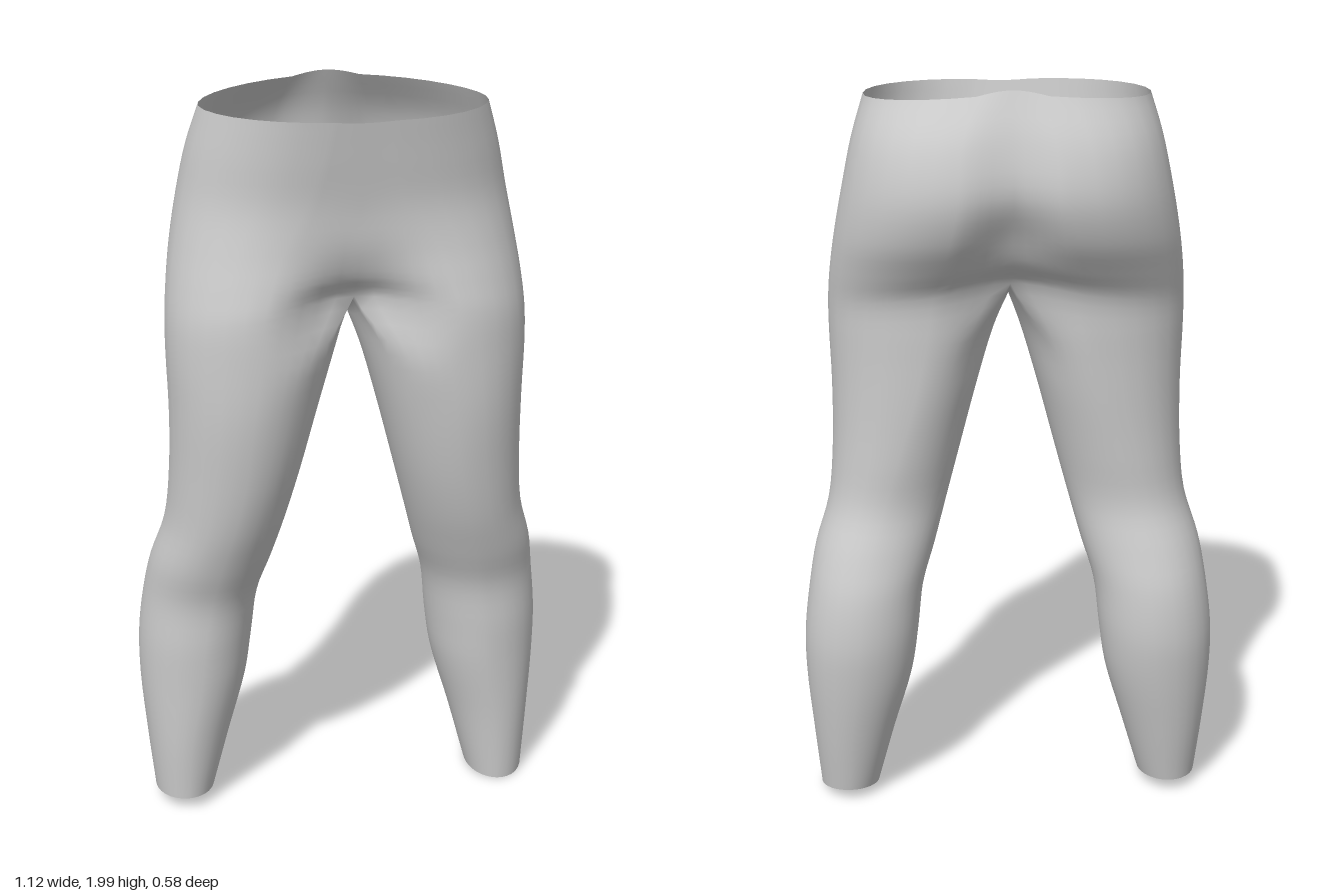
import * as THREE from 'three';
import { mergeVertices, mergeGeometries } from 'three/addons/utils/BufferGeometryUtils.js';

// Columns around one half: K centre-to-peak, Q peak-to-side, M across the crotch seam
const K = 5, Q = 7, M = 10, STEPS = 4;
const H = 2 * K + 2 * Q, N = H + M, I = K + M / 2;

// Hip half-rings: side y, side x, side z, front peak x/z, back peak x/z, front centre y/z, back centre y/z
const HIPS = [
  [1.955, 0.37, 0.035, 0.08, 0.29, 0.09, -0.2, 1.945, 0.29, 1.995, -0.2],
  [1.85, 0.402, 0.02, 0.1, 0.272, 0.13, -0.266, 1.85, 0.272, 1.87, -0.25],
  [1.73, 0.428, 0.01, 0.14, 0.252, 0.14, -0.292, 1.73, 0.25, 1.74, -0.265],
  [1.61, 0.451, 0.02, 0.2, 0.254, 0.16, -0.262, 1.62, 0.236, 1.63, -0.212],
  [1.51, 0.466, 0.04, 0.23, 0.268, 0.18, -0.203, 1.54, 0.207, 1.545, -0.165],
  [1.42, 0.474, 0.06, 0.25, 0.279, 0.2, -0.155, 1.48, 0.165, 1.485, -0.105],
];

// Leg rings: y, outer x, side z, front peak x/z, back peak x/z, inner x
const LEGS = [
  [1.33, 0.475, 0.07, 0.26, 0.281, 0.22, -0.142, 0.036],
  [1.18, 0.471, 0.07, 0.28, 0.274, 0.25, -0.133, 0.08],
  [1.0, 0.474, 0.06, 0.3, 0.248, 0.3, -0.121, 0.128],
  [0.86, 0.488, 0.04, 0.33, 0.217, 0.34, -0.116, 0.166],
  [0.74, 0.525, 0.01, 0.36, 0.178, 0.38, -0.15, 0.2],
  [0.63, 0.545, -0.02, 0.38, 0.14, 0.4, -0.18, 0.234],
  [0.5, 0.56, -0.035, 0.4, 0.131, 0.41, -0.19, 0.25],
  [0.38, 0.56, -0.035, 0.41, 0.122, 0.42, -0.178, 0.268],
  [0.2, 0.546, -0.025, 0.44, 0.107, 0.44, -0.145, 0.32],
  [0.02, 0.53, -0.01, 0.45, 0.092, 0.45, -0.11, 0.368],
];

const smooth = (t) => t * t * (3 - 2 * t);
const lerp = THREE.MathUtils.lerp;

// Point on an oval made of four quarter ellipses; u runs 0 front, 1 outer, 2 back, 3 inner
function oval(u, outer, zs, xf, zf, xb, zb, inner) {
  const s = Math.sin(u * Math.PI / 2), c = Math.cos(u * Math.PI / 2);
  const px = c > 0 ? xf : xb, pz = c > 0 ? zf : zb;
  return [px + ((s > 0 ? outer : inner) - px) * Math.abs(s), zs + (pz - zs) * Math.abs(c)];
}

function hipPoint(ring, col) {
  const [y, outer, zs, xf, zf, xb, zb, yf, cf, yb, cb] = ring;
  const front = col <= H / 2;
  const fromCentre = front ? col : H - col;
  const py = lerp(front ? yf : yb, y, smooth(fromCentre / (H / 2)));
  if (fromCentre < K) {
    const t = fromCentre / K;
    const z = front ? lerp(cf, zf, smooth(t)) : lerp(cb, zb, smooth(t));
    return new THREE.Vector3(t * (front ? xf : xb), py, z);
  }
  const [x, z] = oval((col - K) / Q, outer, zs, xf, zf, xb, zb, 0);
  return new THREE.Vector3(x, py, z);
}

// Crotch seam, running from back centre to front centre on x = 0
function seamPoint(col) {
  const [, , , , , , , yf, cf, yb, cb] = HIPS[HIPS.length - 1];
  const t = (col - H) / M;
  return new THREE.Vector3(0, lerp(yb, yf, t) - 0.05 * Math.sin(Math.PI * t), lerp(cb, cf, t));
}

function legPoint(ring, col, side) {
  const [y, ...shape] = ring;
  const u = col >= K && col <= K + 2 * Q ? (col - K) / Q : 2 + ((col - K - 2 * Q + N) % N) / I;
  const [x, z] = oval(u, ...shape);
  // The two hems are cut slightly differently
  const hem = ring === LEGS[LEGS.length - 1];
  const py = hem ? (side > 0 ? 0.016 - 0.16 * z : 0.037) : y;
  return new THREE.Vector3(x, py, z);
}

// One half of the garment: open hip shell above, closed leg tube below
function halfGeometry(side) {
  const joint = (HIPS.length - 1) * STEPS;
  const rows = (HIPS.length + LEGS.length - 1) * STEPS;
  const positions = [], index = [];
  const columns = [];
  for (let c = 0; c < N; c++) {
    const leg = LEGS.map((r) => legPoint(r, c, side));
    const isSeam = c > H;
    const path = isSeam ? [seamPoint(c), ...leg] : [...HIPS.map((r) => hipPoint(r, c)), ...leg];
    const curve = new THREE.CatmullRomCurve3(path);
    const start = isSeam ? joint : 0;
    const column = [];
    for (let r = start; r <= rows; r++) {
      const p = curve.getPoint((r - start) / (rows - start));
      if (r <= joint) p.x = c === 0 || c >= H ? 0 : Math.max(0, p.x);
      column[r] = positions.length / 3;
      positions.push(side * p.x, p.y, p.z);
    }
    columns.push(column);
  }
  for (let c = 0; c < N; c++) {
    const a = columns[c], b = columns[(c + 1) % N];
    for (let r = c < H ? 0 : joint; r < rows; r++) {
      const quad = [a[r], a[r + 1], b[r], b[r], a[r + 1], b[r + 1]];
      index.push(...(side > 0 ? quad : quad.reverse()));
    }
  }
  const geometry = new THREE.BufferGeometry();
  geometry.setAttribute('position', new THREE.Float32BufferAttribute(positions, 3));
  geometry.setIndex(index);
  return geometry;
}

export function createModel() {
  const group = new THREE.Group();
  group.name = 'leggings';
  // Weld both halves along the centre line so shading is continuous
  const geometry = mergeVertices(mergeGeometries([halfGeometry(1), halfGeometry(-1)]), 1e-4);
  geometry.computeVertexNormals();
  const material = new THREE.MeshStandardMaterial({ color: 0xcccccc, side: THREE.DoubleSide });
  const mesh = new THREE.Mesh(geometry, material);
  mesh.name = 'leggingsFabric';
  group.add(mesh);
  return group;
}
